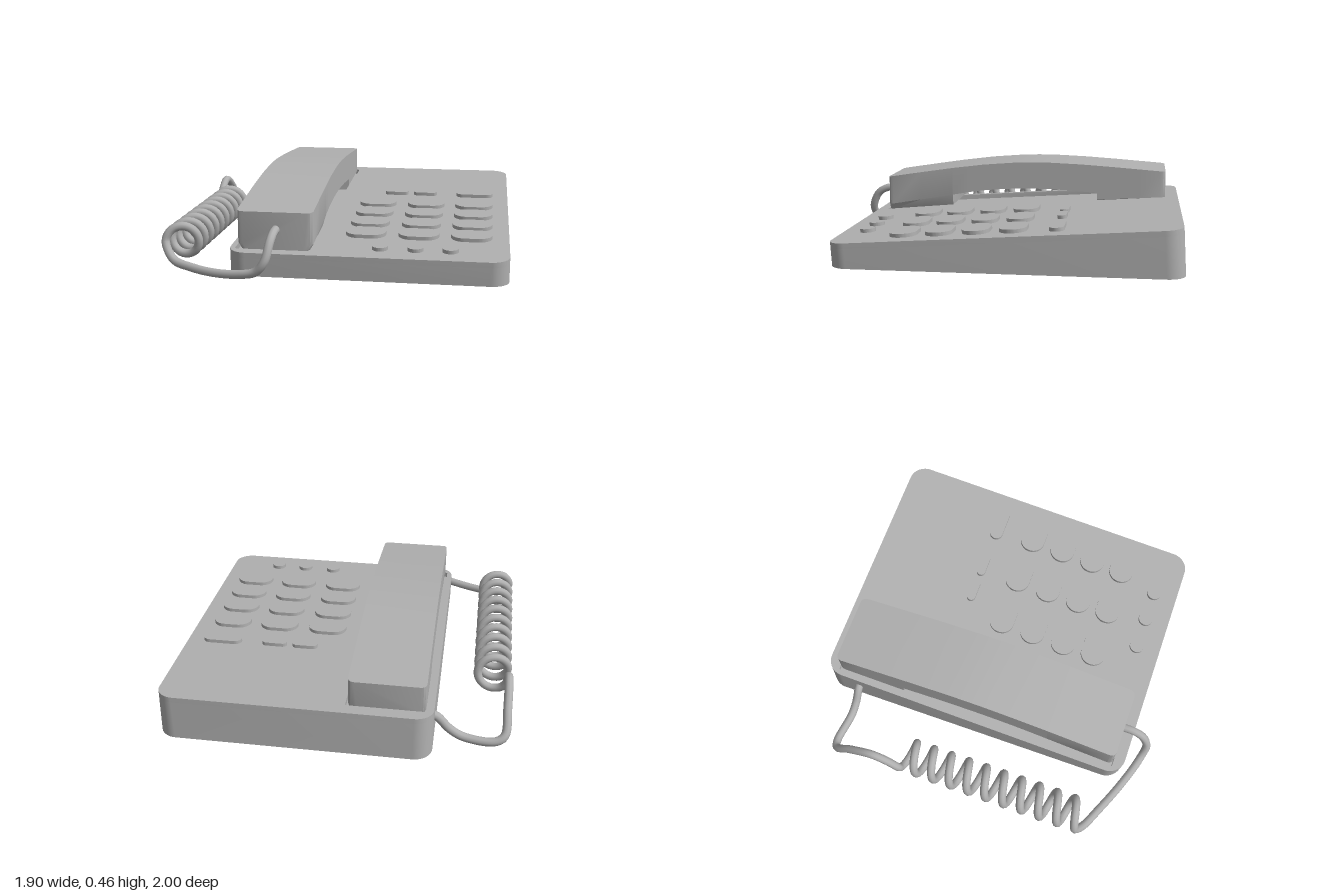
import * as THREE from 'three';
import { toCreasedNormals } from 'three/addons/utils/BufferGeometryUtils.js';

const V = (x, y, z) => new THREE.Vector3(x, y, z);
const BOTTOM = 0.015;
// height of the sloping desk-set top at depth z
const topAt = (z) => 0.146 + (0.87 - z) * 0.0667;

// rounded outline in plan, centred on cx, cz
function plan(cx, cz, w, d, r, Type = THREE.Shape) {
  const s = new Type(), x0 = cx - w / 2, x1 = cx + w / 2, y0 = -cz - d / 2, y1 = -cz + d / 2;
  s.moveTo(x0 + r, y0);
  s.lineTo(x1 - r, y0);
  s.absarc(x1 - r, y0 + r, r, -Math.PI / 2, 0);
  s.lineTo(x1, y1 - r);
  s.absarc(x1 - r, y1 - r, r, 0, Math.PI / 2);
  s.lineTo(x0 + r, y1);
  s.absarc(x0 + r, y1 - r, r, Math.PI / 2, Math.PI);
  s.lineTo(x0, y0 + r);
  s.absarc(x0 + r, y0 + r, r, Math.PI, Math.PI * 1.5);
  return s;
}

// slab between two height rules, leaning slightly with the sloping top
function slab(shape, low, high) {
  const g = new THREE.ExtrudeGeometry(shape, { depth: 1, bevelEnabled: false, curveSegments: 8 });
  g.rotateX(-Math.PI / 2);
  const p = g.attributes.position;
  for (let i = 0; i < p.count; i++) {
    const z = p.getZ(i), y = p.getY(i) > 0.5 ? high(z) : low(z);
    p.setY(i, y);
    p.setZ(i, z + (y - BOTTOM) * 0.06);
  }
  return toCreasedNormals(g, 0.5);
}

// piecewise linear lookup over [z, value] pairs, z falling
function lookup(table, z) {
  for (let i = 0; i < table.length - 1; i++) {
    const [a, va] = table[i], [b, vb] = table[i + 1];
    if (z <= a && z >= b) return va + (vb - va) * (a - z) / (a - b);
  }
  return z > table[0][0] ? table[0][1] : table[table.length - 1][1];
}

// handset lofted from cross-sections along z
function handsetGeometry() {
  const top = [[0.81, 0.355], [0.6, 0.388], [0.4, 0.418], [0.2, 0.443], [0, 0.459], [-0.1, 0.462],
    [-0.2, 0.462], [-0.4, 0.454], [-0.6, 0.441], [-0.91, 0.418]];
  const side = [[0.81, 0.18], [0.4, 0.25], [0.3, 0.268], [0.2, 0.282], [0.05, 0.296], [-0.15, 0.3],
    [-0.3, 0.294], [-0.499, 0.28], [-0.5, 0.24], [-0.91, 0.262]];
  const under = [[0.81, 0.148], [0.4, 0.185], [0.399, 0.25], [0.3, 0.268], [0.2, 0.282], [0.05, 0.296],
    [-0.15, 0.3], [-0.3, 0.294], [-0.499, 0.28], [-0.5, 0.205], [-0.91, 0.235]];
  const zs = [0.81, 0.806, 0.796, 0.78, 0.6, 0.4, 0.399, 0.3, 0.2, 0.1, 0, -0.1, -0.2, -0.3, -0.4,
    -0.499, -0.5, -0.6, -0.75, -0.88, -0.896, -0.906, -0.91];
  const rings = zs.map((z) => {
    // rounded vertical corners at both ends
    const t = Math.max(0, 0.03 - Math.min(0.81 - z, z + 0.91));
    const w = 0.177 + Math.sqrt(Math.max(0, 0.0009 - t * t));
    const inset = z >= 0.4 || z <= -0.5 ? 0.02 : 0.002;
    const a = lookup(top, z), b = lookup(side, z), c = Math.min(b, lookup(under, z));
    return [[w, a], [-w, a], [-w, b], [inset - w, c], [w - inset, c], [w, b]]
      .map(([x, y]) => V(x - 0.29, y, z));
  });
  const out = [], tri = (...v) => v.forEach((q) => out.push(q.x, q.y, q.z));
  for (let i = 0; i < rings.length - 1; i++) {
    const A = rings[i], B = rings[i + 1];
    for (let j = 0; j < 6; j++) {
      const k = (j + 1) % 6;
      tri(A[j], B[j], B[k]);
      tri(A[j], B[k], A[k]);
    }
  }
  const F = rings[0], R = rings[rings.length - 1];
  for (let j = 1; j < 5; j++) {
    tri(F[0], F[j], F[j + 1]);
    tri(R[0], R[j + 1], R[j]);
  }
  const g = new THREE.BufferGeometry();
  g.setAttribute('position', new THREE.Float32BufferAttribute(out, 3));
  return toCreasedNormals(g, 0.5);
}

export function createModel() {
  const model = new THREE.Group();
  model.name = 'deskTelephone';
  const grey = new THREE.MeshStandardMaterial({ color: 0xb0b0b0 });
  grey.name = 'plainGrey';
  const add = (name, geometry) => {
    const m = new THREE.Mesh(geometry, grey);
    m.name = name;
    model.add(m);
  };

  // base with a shallow cradle recess in its upper layer
  const ledge = (z) => topAt(z) - 0.03;
  const outline = () => plan(0.205, -0.065, 1.49, 1.87, 0.1);
  add('lowerBase', slab(outline(), () => BOTTOM, ledge));
  const upper = outline();
  upper.holes.push(plan(-0.29, -0.06, 0.44, 1.73, 0.01, THREE.Path));
  add('upperBase', slab(upper, ledge, topAt));

  add('handset', handsetGeometry());

  // keys follow the slope of the base
  const key = (name, x, z, w, d) =>
    add(name, slab(plan(x, z - 0.01, w, d, d * 0.49), (q) => topAt(q) - 0.005, (q) => topAt(q) + 0.02));
  const columns = [0.16, 0.455, 0.745];
  for (const z of [0.495, 0.3, 0.1, -0.1]) for (const x of columns) key('numberKey', x, z, 0.225, 0.15);
  for (const x of [0.265, 0.455, 0.64]) key('roundKey', x, 0.735, 0.086, 0.086);
  for (const x of [0.255, 0.435]) key('smallKey', x, -0.335, 0.145, 0.052);
  key('wideKey', 0.745, -0.335, 0.225, 0.08);

  // cord: handset lead, coil, then lead into the side of the base
  const path = [V(-0.285, 0.26, 0.79), V(-0.285, 0.255, 0.87), V(-0.29, 0.22, 0.93), V(-0.31, 0.13, 0.972),
    V(-0.36, 0.07, 0.965), V(-0.45, 0.045, 0.94), V(-0.6, 0.03, 0.885), V(-0.75, 0.035, 0.82),
    V(-0.87, 0.06, 0.765)];
  const turns = 10, steps = 12;
  for (let i = 0; i <= turns * steps; i++) {
    const a = Math.PI - (i / steps) * Math.PI * 2;
    path.push(V(-0.84 + 0.086 * Math.cos(a), 0.145 + 0.086 * Math.sin(a), 0.72 - 1.1 * i / (turns * steps)));
  }
  path.push(V(-0.926, 0.21, -0.44), V(-0.926, 0.248, -0.53), V(-0.926, 0.17, -0.68), V(-0.92, 0.06, -0.79),
    V(-0.87, 0.03, -0.81), V(-0.7, 0.03, -0.79), V(-0.62, 0.075, -0.785), V(-0.55, 0.15, -0.785),
    V(-0.5, 0.165, -0.785));
  const curve = new THREE.CatmullRomCurve3(path);
  curve.arcLengthDivisions = 2000;
  add('coiledCord', new THREE.TubeGeometry(curve, 420, 0.024, 10));
  return model;
}
